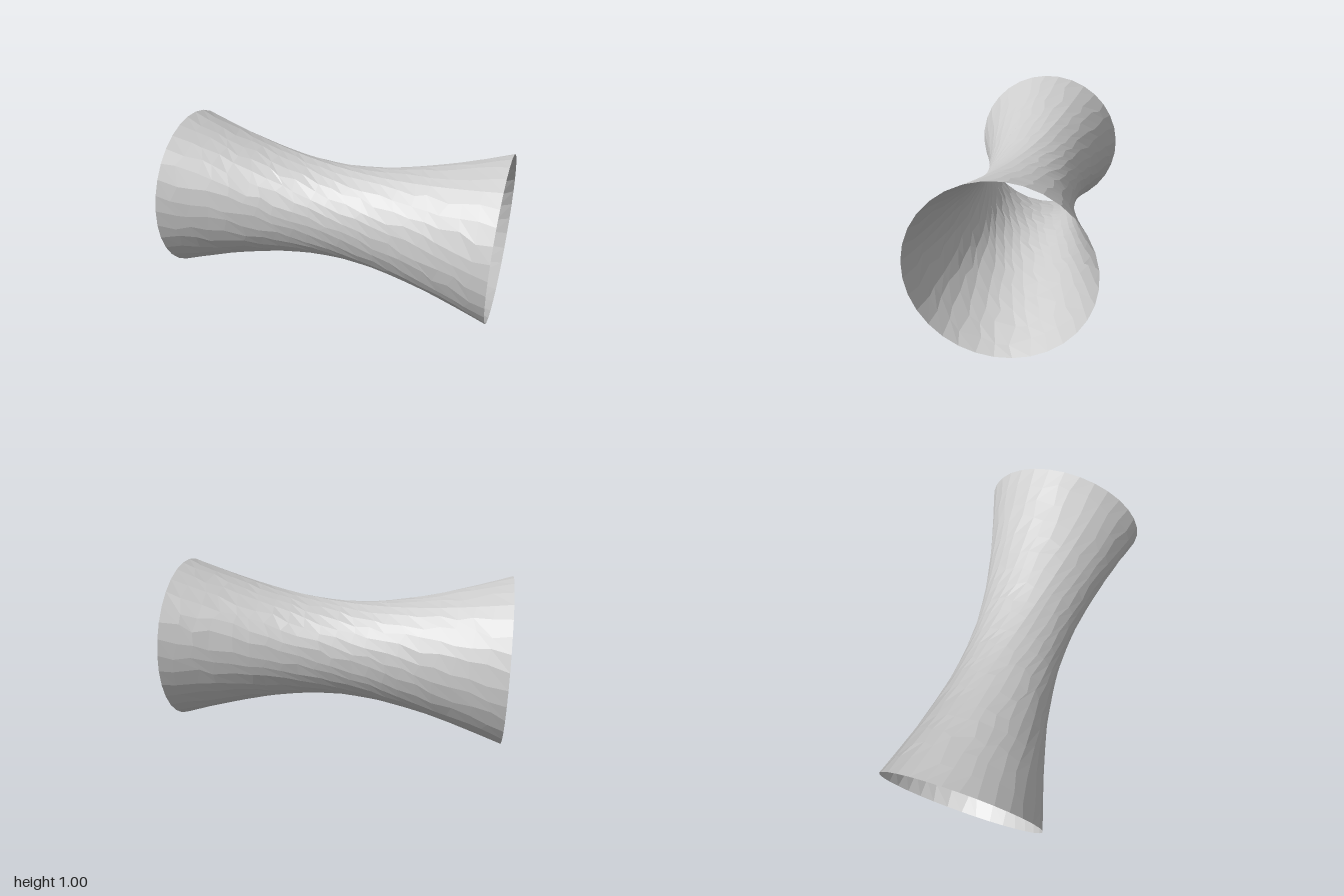
import * as THREE from 'three';

const SIDES = 32, ROWS = 20;
const WAIST = 0.291, RIM = 0.5;

// Small seeded generator for the irregular facets
function seeded(seed) {
  return () => {
    seed = (seed * 16807) % 2147483647;
    return seed / 2147483647 - 0.5;
  };
}

// Hyperbolic profile: radius at a distance x along the axis
const radiusAt = (x) => Math.sqrt(WAIST ** 2 + (RIM ** 2 - WAIST ** 2) * x * x);

export function createModel() {
  const group = new THREE.Group();
  const rand = seeded(71);

  // Open tube turned on to the x axis, pinched at the waist and twisted
  const geometry = new THREE.CylinderGeometry(1, 1, 2, SIDES, ROWS, true);
  const pos = geometry.attributes.position;
  for (let row = 0; row <= ROWS; row++) {
    const rim = row === 0 || row === ROWS;
    for (let col = 0; col <= SIDES; col++) {
      const onSeam = col === 0 || col === SIDES;
      const loose = rim || onSeam ? 0 : 1;
      const x = 1 - (2 * row) / ROWS + loose * rand() * 0.05;
      const local = ((col + loose * rand() * 0.5) / SIDES) * Math.PI * 2;
      // The seam runs straight across the tube from rim to rim
      const angle = local + Math.asin((0.25 * x) / radiusAt(x));
      // Slight ridge along the seam, fading out at the rims
      const away = Math.min(local, Math.PI * 2 - local);
      const r = radiusAt(x) + 0.009 * (1 - x * x) * Math.exp(-away * 4);
      pos.setXYZ(row * (SIDES + 1) + col, x, 0.5 + r * Math.cos(angle), r * Math.sin(angle));
    }
  }
  geometry.computeVertexNormals();

  const material = new THREE.MeshStandardMaterial({
    color: 0xcccccc, flatShading: true, side: THREE.DoubleSide,
  });
  const tube = new THREE.Mesh(geometry, material);
  tube.name = 'waistedTube';
  group.add(tube);
  return group;
}
